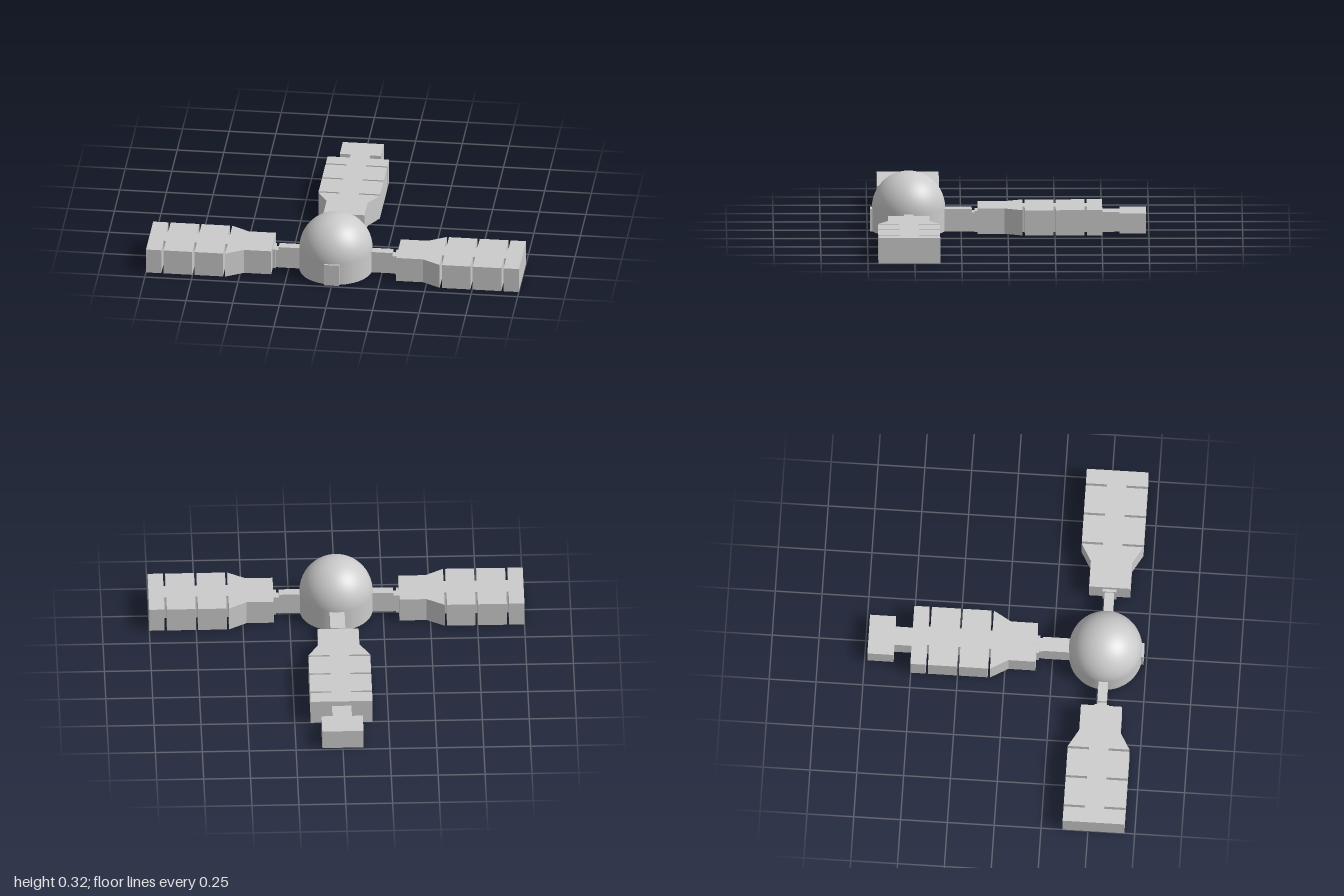
import * as THREE from 'three';

const HUB_Z = 0.53;
const grey = new THREE.MeshStandardMaterial({ color: 0xcccccc });
const flat = new THREE.MeshStandardMaterial({ color: 0xcccccc, flatShading: true });

// Box standing on the ground, running from z0 to z1 along an arm
function block(name, width, height, z0, z1) {
  const mesh = new THREE.Mesh(new THREE.BoxGeometry(width, height, z1 - z0), flat);
  mesh.position.set(0, height / 2, (z0 + z1) / 2);
  mesh.name = name;
  return mesh;
}

// Flared body with three pairs of narrow slots cut into its sides
function segmentedBody(start) {
  const half = 0.165, spine = 0.052, gap = 0.006;
  const side = [[0.11, 0], [0.11, 0.145], [half, 0.24]];
  for (const s of [0.246, 0.411, 0.577]) {
    side.push([half, s - gap], [spine, s - gap], [spine, s + gap], [half, s + gap]);
  }
  side.push([half, 0.665]);
  const outline = [...side, ...side.map(([x, d]) => [-x, d]).reverse()];
  const shape = new THREE.Shape(outline.map(([x, d]) => new THREE.Vector2(x, -d - start)));
  const geo = new THREE.ExtrudeGeometry(shape, { depth: 0.137, bevelEnabled: false });
  geo.rotateX(-Math.PI / 2);
  const mesh = new THREE.Mesh(geo, flat);
  mesh.name = 'segmentedBody';
  return mesh;
}

// Arm pointing along local +z from the hub centre
function arm(name, start, corridorWidth, collarWidth) {
  const group = new THREE.Group();
  group.name = name;
  group.add(
    block('corridor', corridorWidth, 0.121, 0.1, start - 0.03),
    block('joint', corridorWidth * 0.96, 0.102, start - 0.03, start - 0.013),
    block('collar', collarWidth, 0.112, start - 0.015, start),
    segmentedBody(start)
  );
  group.position.z = HUB_Z;
  return group;
}

export function createModel() {
  const model = new THREE.Group();
  model.name = 'domeStation';

  // Hub: short cylinder wall capped with a hemisphere
  const r = 0.195, wall = 0.125;
  const dome = new THREE.Mesh(new THREE.SphereGeometry(r, 64, 24, 0, Math.PI * 2, 0, Math.PI / 2), grey);
  dome.position.set(0, wall, HUB_Z);
  dome.name = 'dome';
  const base = new THREE.Mesh(new THREE.CylinderGeometry(r, r, wall, 64), grey);
  base.position.set(0, wall / 2, HUB_Z);
  base.name = 'hubWall';
  model.add(dome, base, block('frontDoor', 0.08, 0.121, HUB_Z + 0.1, 0.735));

  // Side arms
  for (const s of [1, -1]) {
    const sideArm = arm(s > 0 ? 'leftArm' : 'rightArm', 0.335, 0.05, 0.075);
    sideArm.rotation.y = s * Math.PI / 2;
    model.add(sideArm);
  }

  // Back arm with a neck and end block
  const back = arm('backArm', 0.367, 0.08, 0.1);
  back.rotation.y = Math.PI;
  back.add(
    block('neck', 0.104, 0.108, 1.03, 1.13),
    block('endBlock', 0.22, 0.108, 1.125, 1.265)
  );
  model.add(back);
  return model;
}
